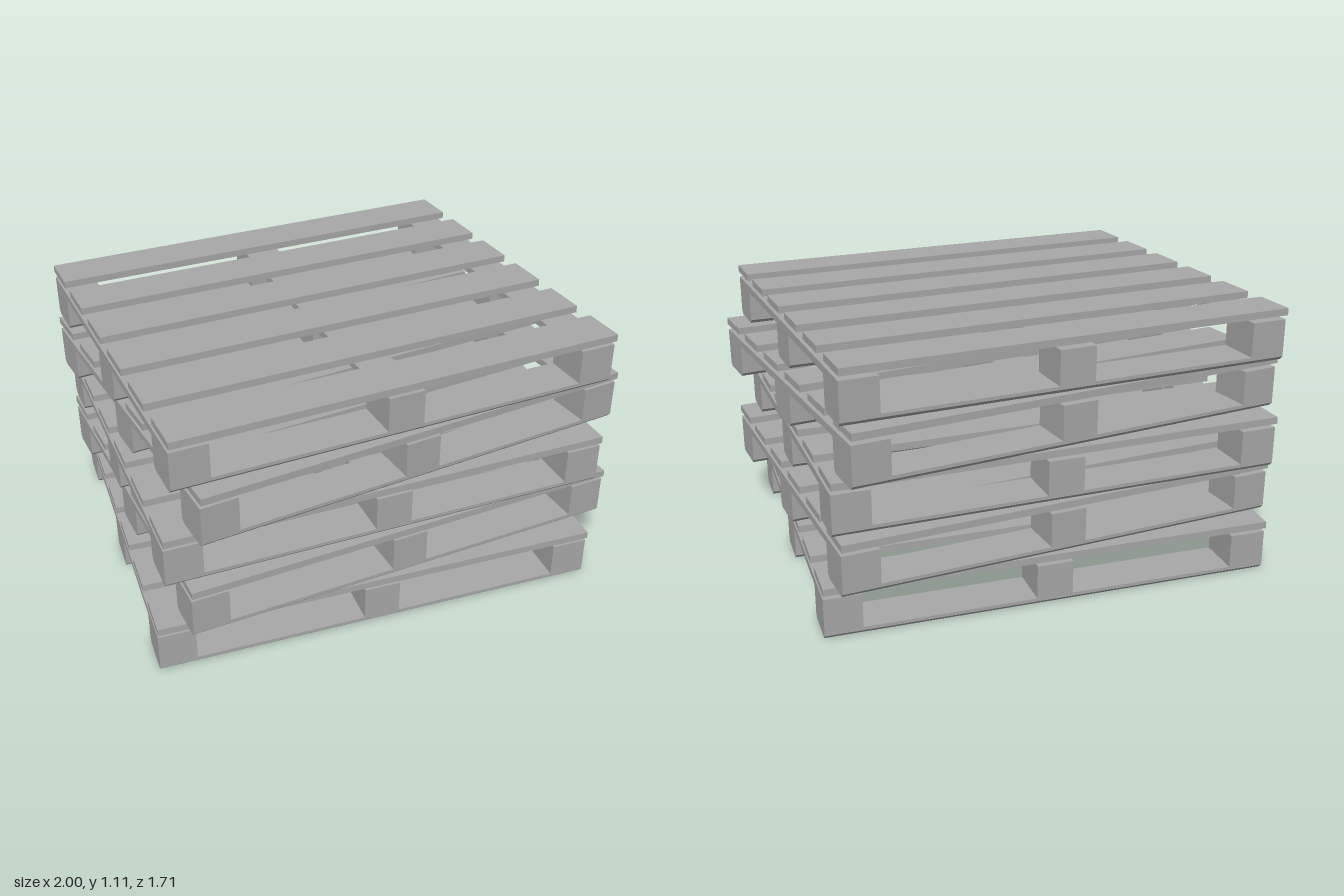
import * as THREE from 'three';

const LENGTH = 1.85;       // board length along x
const PITCH = 0.2212;      // height of one pallet
const ROW_Z = 0.678;       // outer rows of blocks
const COL_X = 0.85;        // outer columns of blocks
const BLOCK_W = 0.15, BLOCK_D = 0.184;

export function createModel() {
  const wood = new THREE.MeshStandardMaterial({ color: 0xa8a8a8 });
  wood.name = 'grey wood';

  // Bottom runner: flat board with bevelled lower long edges
  const h = BLOCK_D / 2, c = 0.016;
  const profile = new THREE.Shape([
    [-h + c, 0], [h - c, 0], [h, c], [h, 0.03], [-h, 0.03], [-h, c],
  ].map(([x, y]) => new THREE.Vector2(x, y)));
  const runnerGeo = new THREE.ExtrudeGeometry(profile, { depth: LENGTH, bevelEnabled: false });
  runnerGeo.translate(0, 0, -LENGTH / 2).rotateY(Math.PI / 2);

  const blockGeo = new THREE.BoxGeometry(BLOCK_W, 0.112, BLOCK_D);
  const stringerGeo = new THREE.BoxGeometry(BLOCK_W, 0.03, 2 * ROW_Z + BLOCK_D);
  const deckGeo = new THREE.BoxGeometry(LENGTH, 0.0292, 0.184);

  const add = (parent, name, geo, x, y, z) => {
    const mesh = new THREE.Mesh(geo, wood);
    mesh.name = name;
    mesh.position.set(x, y, z);
    parent.add(mesh);
  };

  function makePallet() {
    const pallet = new THREE.Group();
    for (const i of [-1, 0, 1]) {
      add(pallet, 'bottomRunner', runnerGeo, 0, 0, i * ROW_Z);
      add(pallet, 'stringer', stringerGeo, i * COL_X, 0.157, 0);
      for (const j of [-1, 0, 1]) add(pallet, 'block', blockGeo, i * COL_X, 0.086, j * ROW_Z);
    }
    // Six deck boards, slightly raised above the stringers
    for (let k = 0; k < 6; k++) add(pallet, 'deckBoard', deckGeo, 0, 0.2066, (k - 2.5) * 0.276);
    return pallet;
  }

  // Untidy stack: each pallet is turned and shifted a little
  const stack = new THREE.Group();
  stack.name = 'palletStack';
  [-4.65, 1.7, -1.7, 4.65, 1].forEach((deg, i) => {
    const pallet = makePallet();
    pallet.name = 'pallet' + (i + 1);
    pallet.position.set([-0.016, 0.016, -0.016, 0.016, -0.016][i], i * PITCH, 0);
    pallet.rotation.y = THREE.MathUtils.degToRad(deg);
    stack.add(pallet);
  });
  return stack;
}
